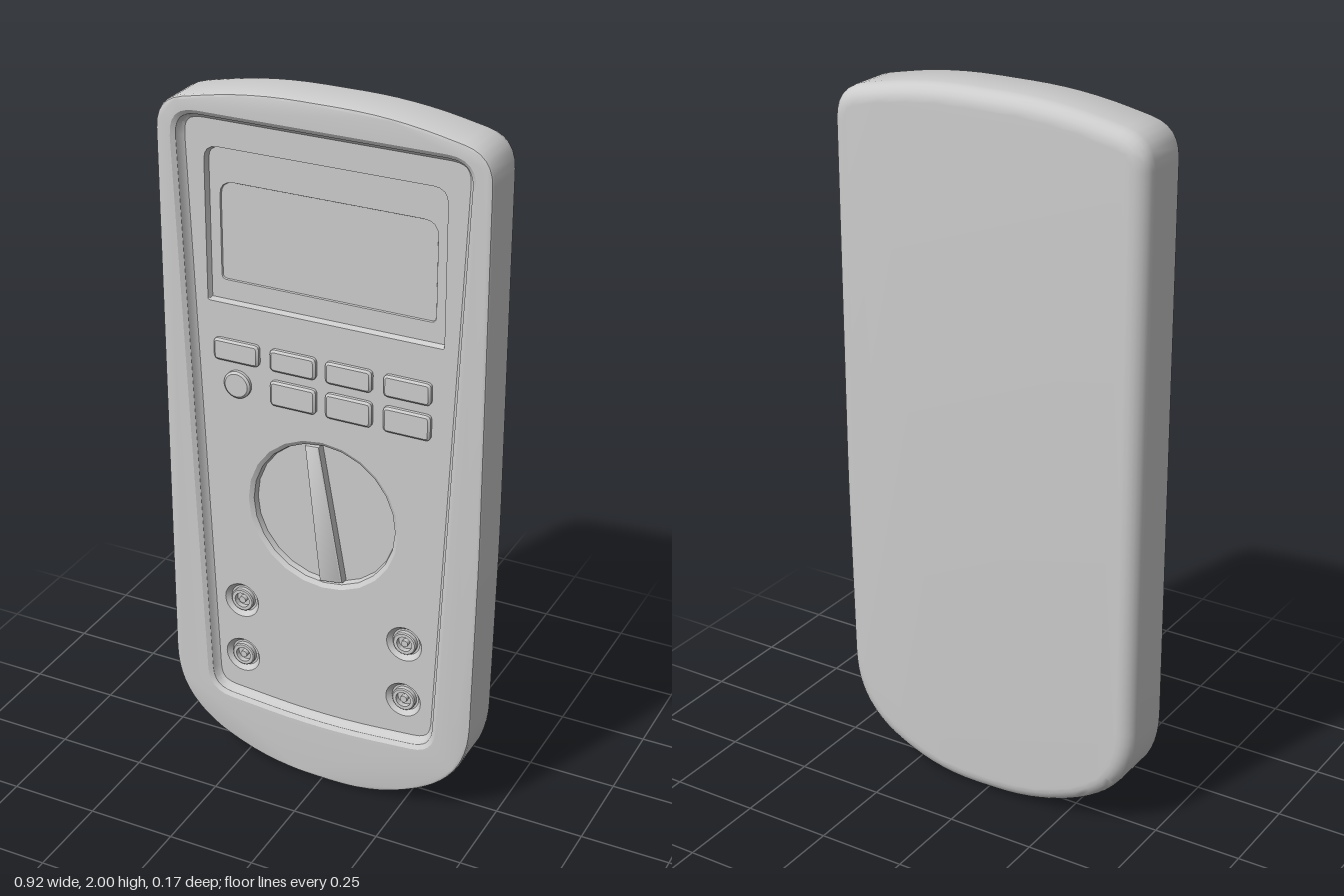
import * as THREE from 'three';
import { mergeGeometries, toCreasedNormals } from 'three/addons/utils/BufferGeometryUtils.js';

const material = new THREE.MeshStandardMaterial({ color: 0xcccccc });
const FRONT = 0.085, PANEL = 0.055;

// Counter-clockwise outline from [x, y, cornerLength] corners
function outline(corners, steps = 6) {
  const pts = [], n = corners.length;
  corners.forEach(([x, y, r = 0], i) => {
    const c = new THREE.Vector2(x, y);
    if (!r) return pts.push(c);
    const toward = ([px, py]) => {
      const d = new THREE.Vector2(px, py).sub(c);
      return d.clone().setLength(Math.min(r, d.length() * 0.48)).add(c);
    };
    const a = toward(corners[(i + n - 1) % n]), b = toward(corners[(i + 1) % n]);
    pts.push(...new THREE.QuadraticBezierCurve(a, c, b).getPoints(steps));
  });
  return pts;
}

const rect = (x0, y0, x1, y1, rBottom, rTop = rBottom) =>
  outline([[x0, y0, rBottom], [x1, y0, rBottom], [x1, y1, rTop], [x0, y1, rTop]], 4);

function circle(x, y, r, sides = 24) {
  return Array.from({ length: sides }, (_, i) => {
    const a = (i / sides) * Math.PI * 2;
    return new THREE.Vector2(x + r * Math.cos(a), y + r * Math.sin(a));
  });
}

// Moves an outline inwards by d with mitred corners
function inset(pts, d) {
  const n = pts.length;
  return pts.map((p, i) => {
    const e0 = p.clone().sub(pts[(i + n - 1) % n]).normalize();
    const e1 = pts[(i + 1) % n].clone().sub(p).normalize();
    const m = new THREE.Vector2(-e0.y - e1.y, e0.x + e1.x);
    return m.multiplyScalar((2 * d) / m.lengthSq()).add(p);
  });
}

function cap(pts, z, holes = [], flip = false) {
  const shape = new THREE.Shape(pts);
  shape.holes = holes.map(h => new THREE.Path(h));
  const g = new THREE.ShapeGeometry(shape);
  if (flip) g.scale(-1, 1, 1).rotateY(Math.PI).index.array.reverse();
  if (flip) {
    // keep the shape in place but facing backwards
    const p = g.attributes.position;
    for (let i = 0; i < p.count; i++) p.setZ(i, 0);
  }
  g.translate(0, 0, z);
  const flat = g.toNonIndexed();
  flat.deleteAttribute('uv');
  return flat;
}

// Walls through [inset, z] sections, closed at the last one:
// rising z makes a raised part, falling z makes a recess
function lofted(name, pts, sections, { holes = [], back = false, crease = 0.6 } = {}) {
  const rings = sections.map(([d]) => (d ? inset(pts, d) : pts));
  const pos = [], n = pts.length;
  for (let k = 0; k < rings.length - 1; k++) {
    const z0 = sections[k][1], z1 = sections[k + 1][1];
    for (let i = 0; i < n; i++) {
      const j = (i + 1) % n;
      const a = rings[k][i], b = rings[k][j], c = rings[k + 1][j], d = rings[k + 1][i];
      pos.push(a.x, a.y, z0, b.x, b.y, z0, c.x, c.y, z1, a.x, a.y, z0, c.x, c.y, z1, d.x, d.y, z1);
    }
  }
  const wall = new THREE.BufferGeometry();
  wall.setAttribute('position', new THREE.Float32BufferAttribute(pos, 3));
  wall.computeVertexNormals();
  const last = rings.length - 1;
  const parts = [wall, cap(rings[last], sections[last][1], holes)];
  if (back) parts.push(cap(rings[0], sections[0][1], [], true));
  const mesh = new THREE.Mesh(toCreasedNormals(mergeGeometries(parts), crease), material);
  mesh.name = name;
  return mesh;
}

export function createModel() {
  const group = new THREE.Group();
  group.name = 'multimeter';

  const bodyOutline = outline([
    [-0.46, 0.22, 0.1], [-0.36, 0.09, 0.1], [-0.15, 0.005, 0.12],
    [0.15, 0, 0.12], [0.355, 0.09, 0.1], [0.445, 0.22, 0.1], [0.457, 0.85, 0.1],
    [0.457, 1.945, 0.08], [0.19, 2, 0.14], [-0.19, 2, 0.14], [-0.46, 1.945, 0.08],
  ]);
  const faceOutline = outline([
    [-0.355, 0.2, 0.07], [0, 0.172, 0.2], [0.342, 0.2, 0.07],
    [0.417, 1.928, 0.08], [-0.422, 1.928, 0.08],
  ]);
  const screenOutline = rect(-0.34, 1.405, 0.33, 1.83, 0.006, 0.04);
  const windowOutline = rect(-0.305, 1.465, 0.3, 1.735, 0.015, 0.04);
  const dialOutline = circle(-0.01, 0.84, 0.222);
  const jacks = [[-0.26, 0.507], [0.235, 0.507], [-0.26, 0.327], [0.235, 0.327]];
  const jackOutlines = jacks.map(([x, y]) => circle(x, y, 0.052));

  // Case: round back edge, small front bevel, opening for the face
  const R = 0.045, sections = [];
  for (let i = 0; i <= 6; i++) {
    const a = (i / 6) * Math.PI / 2;
    sections.push([R * (1 - Math.sin(a)), -FRONT + R * (1 - Math.cos(a))]);
  }
  sections.push([0, FRONT - 0.008], [0.003, FRONT - 0.002], [0.008, FRONT]);
  group.add(lofted('case', bodyOutline, sections, { holes: [faceOutline], back: true }));

  // Sunken face with openings for screen, dial and jacks
  group.add(lofted('facePanel', faceOutline,
    [[0, FRONT], [0.012, FRONT - 0.008], [0.018, PANEL + 0.006], [0.026, PANEL]],
    { holes: [screenOutline, dialOutline, ...jackOutlines] }));

  // Screen
  group.add(lofted('screenFrame', screenOutline, [[0, PANEL], [0.006, PANEL - 0.015]],
    { holes: [windowOutline] }));
  group.add(lofted('screenWindow', windowOutline, [[0, PANEL - 0.015], [0.002, PANEL - 0.019]]));

  // Buttons
  const raised = [[0, PANEL - 0.002], [0, PANEL + 0.009], [0.006, PANEL + 0.014]];
  [[1.275, 0.031], [1.18, 0.036]].forEach(([y, h], row) => {
    [-0.255, -0.09, 0.07, 0.235].forEach((x, col) => {
      const round = row === 1 && col === 0;
      const pts = round ? circle(x, y, 0.039) : rect(x - 0.066, y - h, x + 0.066, y + h, 0.014);
      group.add(lofted(round ? 'roundButton' : 'button', pts, raised));
    });
  });

  // Rotary dial: sunken disc with a tilted grip bar
  group.add(lofted('dialWell', dialOutline, [[0, PANEL], [0.012, PANEL - 0.008], [0.016, PANEL - 0.024]]));
  const grip = outline([[-0.02, 0.635], [0.05, 0.645], [-0.02, 1.046], [-0.063, 1.043]]);
  group.add(lofted('dialGrip', grip, [[0, PANEL - 0.025], [0.002, PANEL - 0.002], [0.005, PANEL]]));

  // Sockets: recess, collar with a bore, centre pin
  jacks.forEach(([x, y], i) => {
    group.add(lofted('jackWell', jackOutlines[i], [[0, PANEL], [0.012, PANEL - 0.015]]));
    const bore = circle(x, y, 0.022);
    group.add(lofted('jackCollar', circle(x, y, 0.034),
      [[0, PANEL - 0.016], [0, PANEL - 0.003], [0.003, PANEL]], { holes: [bore] }));
    group.add(lofted('jackBore', bore, [[0, PANEL], [0, PANEL - 0.015]]));
    group.add(lofted('jackPin', circle(x, y, 0.01, 12), [[0, PANEL - 0.016], [0, PANEL - 0.002]]));
  });

  return group;
}
